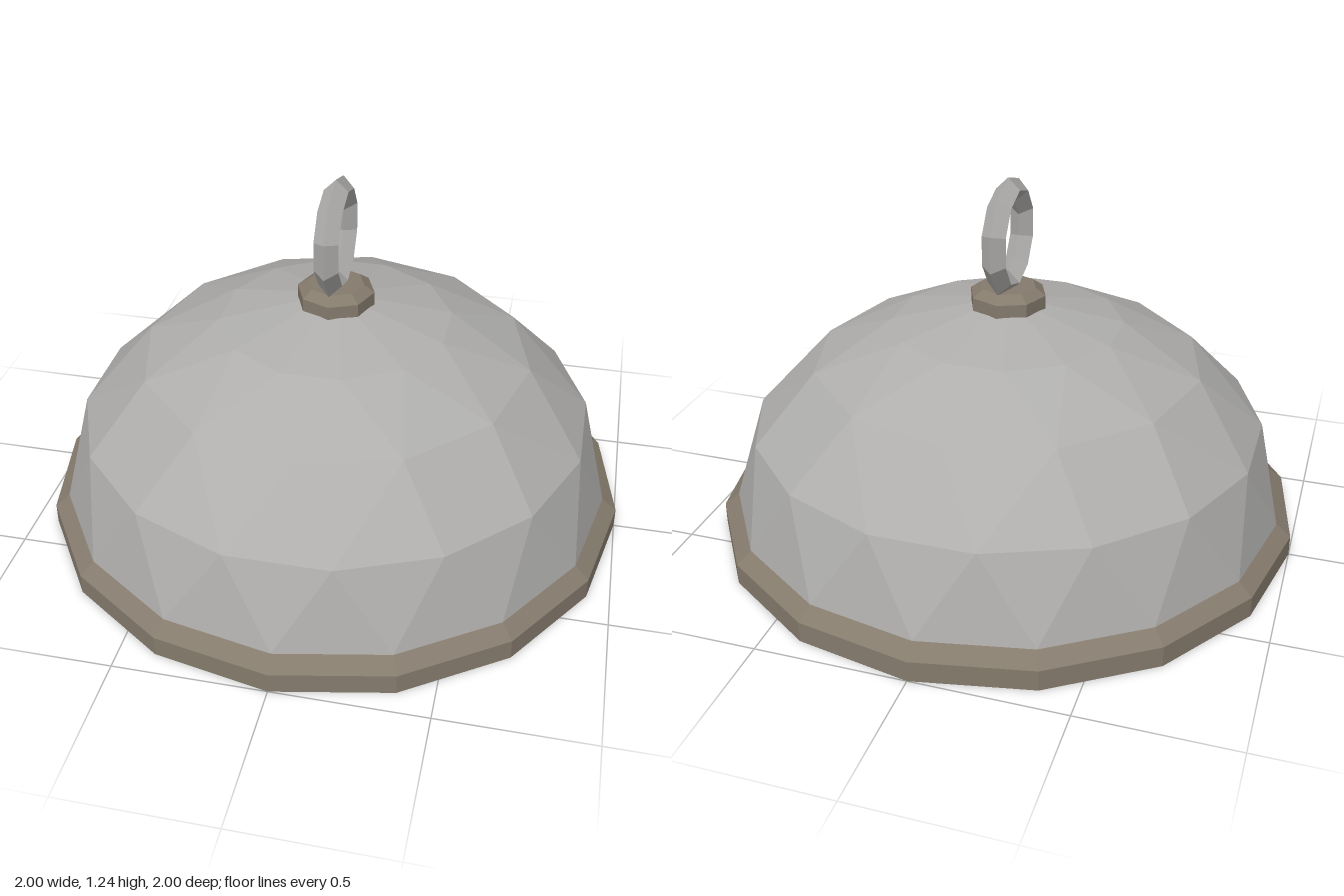
import * as THREE from 'three';

const steel = new THREE.MeshStandardMaterial({ name: 'steel grey', color: 0xafaeac, flatShading: true });
const bronze = new THREE.MeshStandardMaterial({ name: 'dull bronze', color: 0x857b6d, flatShading: true });

// Ring of n points; shift is a fraction of one step
function ring(r, y, n, shift = 0) {
  return Array.from({ length: n }, (_, i) => {
    const a = (i + shift) / n;
    return { a, p: [r * Math.sin(a * 2 * Math.PI), y, r * Math.cos(a * 2 * Math.PI)] };
  });
}

// Joins rings of differing point counts, from bottom to top, with triangles
function stitch(rings) {
  const pos = [];
  const at = (R, i) => R[i % R.length].p;
  const angle = (R, i) => R[i % R.length].a + Math.floor(i / R.length);
  for (let k = 0; k + 1 < rings.length; k++) {
    const lo = rings[k], hi = rings[k + 1];
    let i = 0, j = 0;
    while (i < lo.length || j < hi.length) {
      const midLo = angle(lo, i) + angle(lo, i + 1);
      const midHi = angle(hi, j) + angle(hi, j + 1);
      if (j >= hi.length || (i < lo.length && midLo <= midHi)) {
        pos.push(...at(lo, i), ...at(lo, i + 1), ...at(hi, j));
        i++;
      } else {
        pos.push(...at(lo, i), ...at(hi, j + 1), ...at(hi, j));
        j++;
      }
    }
  }
  const g = new THREE.BufferGeometry();
  g.setAttribute('position', new THREE.Float32BufferAttribute(pos, 3));
  g.computeVertexNormals();
  return g;
}

// Fan from a ring up to a point on the axis; inward turns its faces down
function fan(base, y, inward) {
  const pos = [];
  base.forEach(({ p }, i) => {
    const q = base[(i + 1) % base.length].p;
    pos.push(...(inward ? q : p), ...(inward ? p : q), 0, y, 0);
  });
  const g = new THREE.BufferGeometry();
  g.setAttribute('position', new THREE.Float32BufferAttribute(pos, 3));
  g.computeVertexNormals();
  return g;
}

export function createModel() {
  const model = new THREE.Group();
  model.name = 'domedCover';
  const add = (name, geometry, material) => {
    const m = new THREE.Mesh(geometry, material);
    m.name = name;
    model.add(m);
    return m;
  };

  // Faceted dome with fewer facets toward the top
  const crown = ring(0.39, 0.74, 12, 0.5);
  add('dome', stitch([ring(0.95, 0.11, 16), ring(0.873, 0.39, 16, 0.5), ring(0.66, 0.61, 12), crown]), steel);
  add('domeCrown', fan(crown, 0.83, false), steel);

  // Hollow underside
  add('underside', fan(ring(1, 0, 16), 0.56, true), steel);

  // Rim with a bevelled top edge
  add('rim', stitch([ring(1, 0, 16), ring(1, 0.07, 16), ring(0.95, 0.11, 16)]), bronze);

  // Octagonal collar under the handle
  const collarTop = ring(0.095, 0.87, 8);
  add('collar', stitch([ring(0.13, 0.78, 8), ring(0.13, 0.845, 8), collarTop]), bronze);
  add('collarTop', fan(collarTop, 0.87, false), bronze);

  // Ring handle, standing front to back
  const handle = new THREE.TorusGeometry(0.16, 0.04, 4, 10).rotateZ(Math.PI / 2).rotateY(Math.PI / 2);
  add('ringHandle', handle, steel).position.y = 1.04;

  return model;
}
